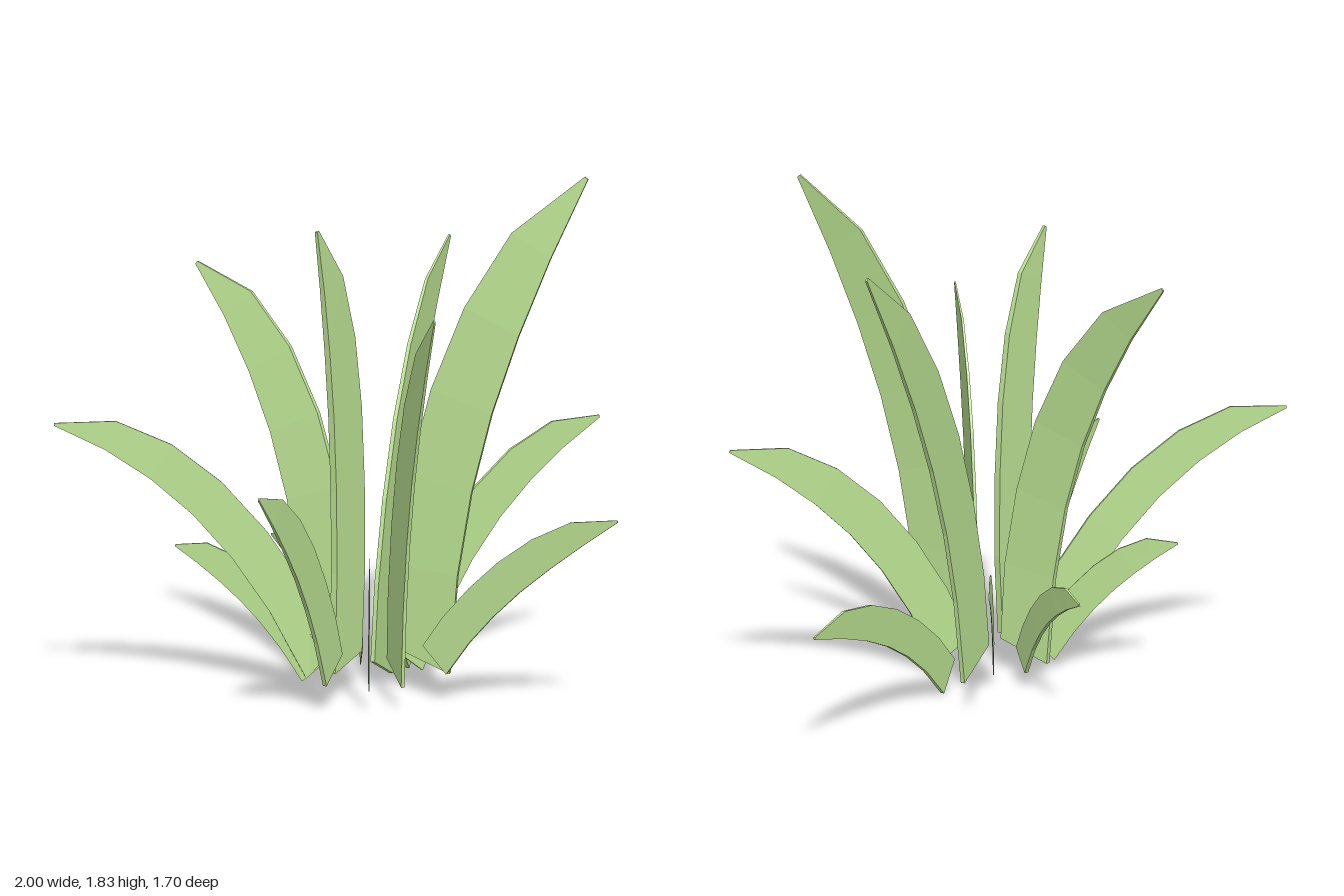
import * as THREE from 'three';

// Each leaf: base centre, tip, control reach (fraction of the way out), control height,
// width, thickness, sideways lean of the cross-section
const LEAVES = [
  // tall leaves
  { base: [0.275, 0.13, 0.23], tip: [0.81, 1.83, 0.41], reach: 0.02, rise: 1.13, width: 0.24, thick: 0.028, lean: 0.2 },
  { base: [0.01, 0.12, 0.22], tip: [-0.1, 1.65, 0.36], reach: -0.4, rise: 1.15, width: 0.18, thick: 0.025 },
  { base: [0.155, 0.055, 0.06], tip: [0.48, 1.59, -0.62], reach: 0.12, rise: 0.98, width: 0.22, thick: 0.016 },
  { base: [-0.03, 0.1, 0.08], tip: [-0.5, 1.51, -0.29], reach: 0.05, rise: 1.09, width: 0.2, thick: 0.018, lean: -0.2 },
  { base: [0.17, 0.12, 0.385], tip: [0.25, 1.38, 0.78], reach: 0.04, rise: 0.92, width: 0.18, thick: 0.012 },
  // arching leaves
  { base: [-0.07, 0.1, 0.16], tip: [-1, 0.99, 0.27], reach: 0.38, rise: 0.88, width: 0.155, thick: 0.014 },
  { base: [0.24, 0.095, 0.09], tip: [1, 0.93, -0.24], reach: 0.315, rise: 0.765, width: 0.165, thick: 0.014 },
  { base: [-0.05, 0.14, 0.405], tip: [-0.32, 0.82, 0.85], reach: 0.31, rise: 0.62, width: 0.15, thick: 0.014 },
  { base: [0.315, 0.15, 0.33], tip: [0.88, 0.7, 0.68], reach: 0.34, rise: 0.515, width: 0.13, thick: 0.012 },
  // short leaves
  { base: [0.07, 0.1, 0.455], tip: [0.06, 0.57, 0.6], reach: 0.1, rise: 0.35, width: 0.08, thick: 0.003 },
  { base: [0.085, 0.09, 0.01], tip: [0.085, 0.54, -0.71], reach: 0.345, rise: 0.49, width: 0.13, thick: 0.003 },
  { base: [-0.1, 0.08, 0.17], tip: [-0.59, 0.52, 0.06], reach: 0.42, rise: 0.44, width: 0.12, thick: 0.012 },
  { base: [0.25, 0.058, -0.09], tip: [0.65, 0.445, -0.85], reach: 0.395, rise: 0.44, width: 0.135, thick: 0.014 },
  { base: [-0.02, 0.1, -0.03], tip: [-0.22, 0.45, -0.49], reach: 0.35, rise: 0.43, width: 0.11, thick: 0.014 },
];

// Half-widths along the leaf, base to tip; the inner (upper) edge stays full for longer
const INNER = [1, 1, 1, 1.03, 1.02, 0.85, 0.06];
const OUTER = [1, 1, 1, 0.94, 0.8, 0.52, 0.06];
const SEGMENTS = INNER.length - 1;

// Bends a thin box along a curve that lies in an upright plane
function leafGeometry({ base, tip, reach, rise, width, thick, lean = 0 }) {
  const a = new THREE.Vector3(...base);
  const b = new THREE.Vector3(...tip);
  const control = a.clone().lerp(b, reach).setY(rise);
  const curve = new THREE.QuadraticBezierCurve3(a, control, b);
  const out = b.clone().sub(a).setY(0).normalize();
  const up = new THREE.Vector3(0, 1, 0);
  const side = out.clone().cross(up);

  const geometry = new THREE.BoxGeometry(1, 1, 1, 1, SEGMENTS, 1);
  const pos = geometry.attributes.position;
  for (let i = 0; i < pos.count; i++) {
    const t = pos.getY(i) + 0.5;
    const step = Math.round(t * SEGMENTS);
    const taper = (pos.getX(i) < 0 ? INNER : OUTER)[step];
    const tangent = curve.getTangent(t);
    // across the leaf, pointing outward and down; the base is cut at a slant
    const across = out.clone().multiplyScalar(tangent.y).addScaledVector(up, -tangent.dot(out));
    if (step === 0) across.addScaledVector(up, -0.35).normalize();
    across.addScaledVector(side, lean);
    const p = curve.getPoint(t)
      .addScaledVector(across, pos.getX(i) * width * taper)
      .addScaledVector(side, pos.getZ(i) * thick * (0.4 + 0.6 * OUTER[step]));
    pos.setXYZ(i, p.x, Math.max(p.y, 0), p.z);
  }
  geometry.computeVertexNormals();
  return geometry;
}

export function createModel() {
  const plant = new THREE.Group();
  plant.name = 'grassTuft';
  const green = new THREE.MeshStandardMaterial({ color: 0xbce293, flatShading: true });
  LEAVES.forEach((leaf, i) => {
    const mesh = new THREE.Mesh(leafGeometry(leaf), green);
    mesh.name = `leaf${i + 1}`;
    plant.add(mesh);
  });
  return plant;
}
